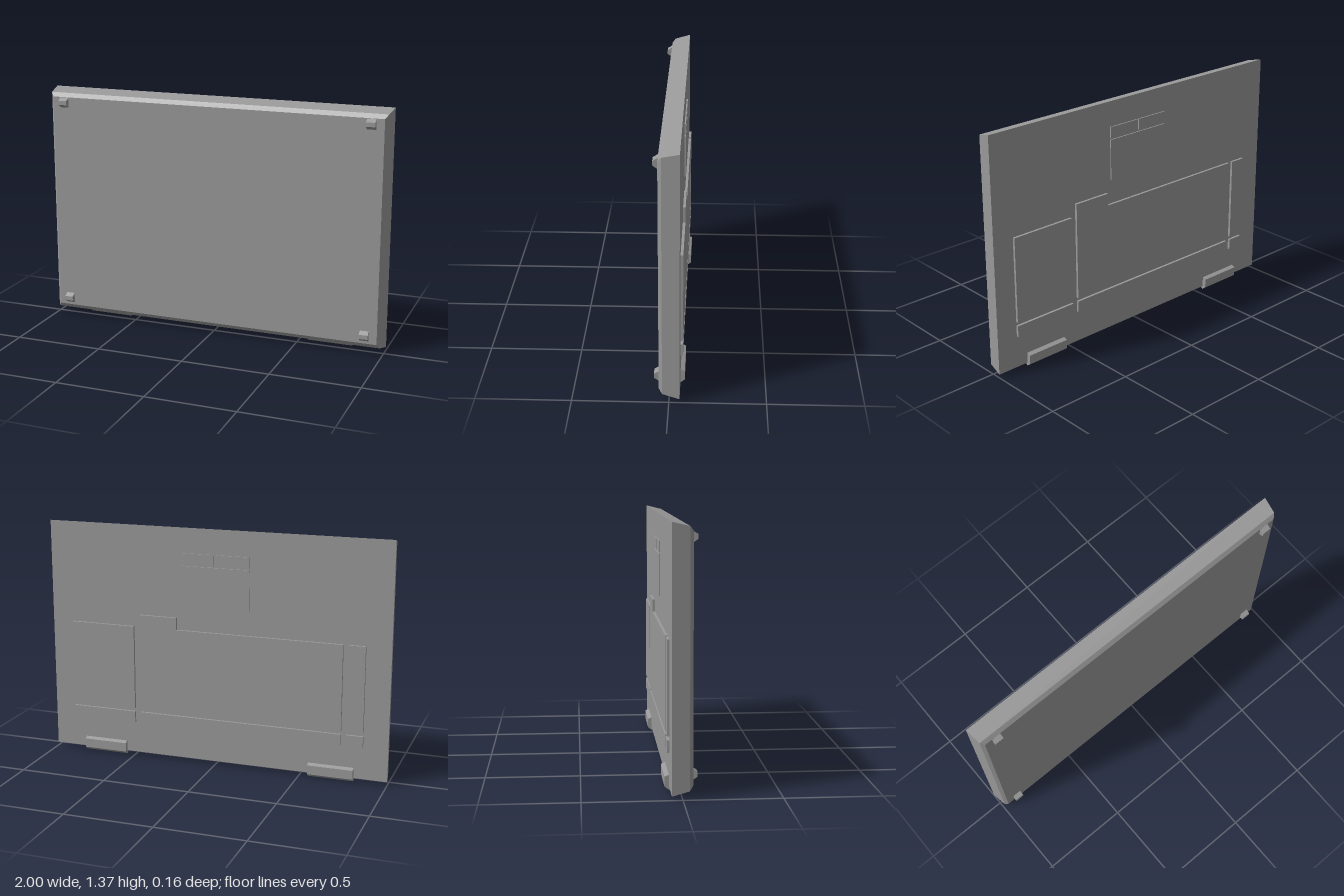
import * as THREE from 'three';

const grey = new THREE.MeshStandardMaterial({ color: 0x999999 });
grey.name = 'grey';

function add(group, geometry, name) {
  const mesh = new THREE.Mesh(geometry, grey);
  mesh.name = name;
  group.add(mesh);
  return mesh;
}

// Extrude a [z, y] profile along x, centred on xMid
function profileAlongX(points, width, xMid) {
  const shape = new THREE.Shape(points.map(([z, y]) => new THREE.Vector2(z, y)));
  const g = new THREE.ExtrudeGeometry(shape, { depth: width, bevelEnabled: false });
  g.translate(0, 0, -width / 2);
  g.rotateY(-Math.PI / 2);
  g.translate(xMid, 0, 0);
  return g;
}

// Slab through rectangular sections listed from back to front: [z, halfWidth, yLow, yHigh]
function rectLoft(sections) {
  const pos = [];
  const idx = [];
  for (const [z, w, y0, y1] of sections) {
    pos.push(-w, y0, z, w, y0, z, w, y1, z, -w, y1, z);
  }
  for (let s = 0; s < sections.length - 1; s++) {
    for (let i = 0; i < 4; i++) {
      const a = s * 4 + i;
      const b = s * 4 + (i + 1) % 4;
      idx.push(a, b, b + 4, a, b + 4, a + 4);
    }
  }
  const f = (sections.length - 1) * 4;
  idx.push(0, 2, 1, 0, 3, 2, f, f + 1, f + 2, f, f + 2, f + 3);
  const g = new THREE.BufferGeometry();
  g.setAttribute('position', new THREE.Float32BufferAttribute(pos, 3));
  g.setIndex(idx);
  const flat = g.toNonIndexed();
  flat.computeVertexNormals();
  return flat;
}

const BACK = -0.055;

export function createModel() {
  const model = new THREE.Group();
  model.name = 'lidPanel';

  // Main slab with sloped sides and a chamfered front rim
  add(model, rectLoft([
    [BACK, 1, 0.02, 1.365],
    [0.035, 0.987, 0.041, 1.343],
    [0.053, 0.97, 0.065, 1.32],
  ]), 'body');

  // Wedge bumpers at the four front corners
  for (const x of [-0.9, 0.9]) {
    for (const y of [0.11, 1.29]) {
      add(model, profileAlongX([
        [0.045, y - 0.03], [0.053, y - 0.03], [0.079, y - 0.012],
        [0.079, y + 0.012], [0.053, y + 0.028], [0.045, y + 0.028],
      ], 0.05, x), 'cornerBumper');
    }
  }

  // Hinge feet wrapping the lower back edge
  for (const x of [-0.68, 0.68]) {
    add(model, profileAlongX([
      [-0.02, 0.027], [-0.053, 0], [-0.077, 0.018],
      [-0.077, 0.07], [BACK, 0.08], [-0.04, 0.08],
    ], 0.26, x), 'hingeFoot');
  }

  // Rectangular raised plates on the back: name, x range, y range, outer z
  const plates = [
    ['upperPlate', -0.2, 0.2, 0.92, 1.15, -0.062],
    ['upperTab', -0.2, -0.004, 1.16, 1.222, -0.062],
    ['upperTab', 0.006, 0.2, 1.16, 1.222, -0.062],
    ['sidePlate', 0.49, 0.875, 0.29, 0.78, -0.069],
    ['narrowPlate', -0.86, -0.765, 0.29, 0.78, -0.069],
    ['lowerStrip', 0.49, 0.875, 0.205, 0.27, -0.069],
    ['lowerStrip', -0.735, 0.455, 0.205, 0.27, -0.069],
    ['lowerStrip', -0.86, -0.765, 0.205, 0.27, -0.069],
  ];
  for (const [name, x0, x1, y0, y1, z] of plates) {
    const depth = -0.05 - z;
    const g = new THREE.BoxGeometry(x1 - x0, y1 - y0, depth);
    g.translate((x0 + x1) / 2, (y0 + y1) / 2, z + depth / 2);
    add(model, g, name);
  }

  // Wide plate with a raised step at one end
  const stepped = new THREE.Shape([
    [-0.735, 0.29], [0.455, 0.29], [0.455, 0.85],
    [0.23, 0.85], [0.23, 0.78], [-0.735, 0.78],
  ].map(([x, y]) => new THREE.Vector2(x, y)));
  const wide = new THREE.ExtrudeGeometry(stepped, { depth: 0.019, bevelEnabled: false });
  wide.translate(0, 0, -0.069);
  add(model, wide, 'steppedPlate');

  return model;
}
